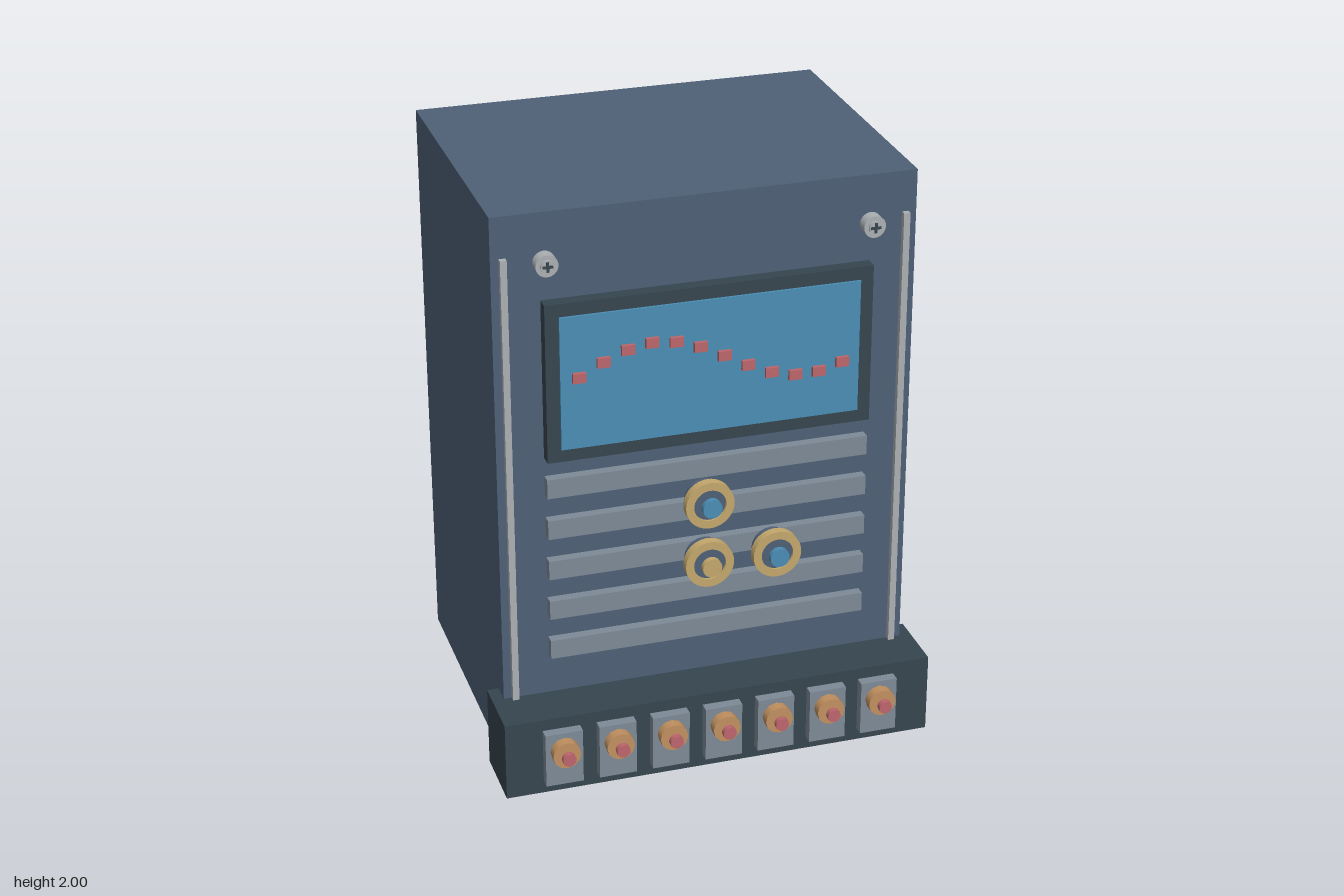
import * as THREE from 'three';

const mat = (name, color) => Object.assign(new THREE.MeshStandardMaterial({ color }), { name });

export function createModel() {
  const model = new THREE.Group();
  model.name = 'controlCabinet';

  const slate = mat('slate blue', 0x4f6077);
  const charcoal = mat('charcoal', 0x36454f);
  const steel = mat('steel grey', 0x7d8a96);
  const silver = mat('silver', 0xabb0b3);
  const blue = mat('screen blue', 0x4a8db5);
  const gold = mat('gold', 0xc4a86c);
  const copper = mat('copper', 0xc0905f);
  const red = mat('signal red', 0xbd666c);

  const add = (name, geometry, material, parent = model) => {
    const mesh = new THREE.Mesh(geometry, material);
    mesh.name = name;
    parent.add(mesh);
    return mesh;
  };
  // Box given by its centre in x and y, its size, and its z range
  const box = (name, x, y, w, h, z0, z1, material, parent) =>
    add(name, new THREE.BoxGeometry(w, h, z1 - z0).translate(x, y, (z0 + z1) / 2), material, parent);
  // Cylinder lying along z
  const disc = (name, x, y, r, z0, z1, material, parent, sides = 20) =>
    add(name, new THREE.CylinderGeometry(r, r, z1 - z0, sides).rotateX(Math.PI / 2)
      .translate(x, y, (z0 + z1) / 2), material, parent);
  const group = (name) => {
    const g = new THREE.Group();
    g.name = name;
    model.add(g);
    return g;
  };

  // Cabinet and plinth
  box('cabinet', 0, 1.0125, 1.41, 1.975, -0.72, 0.3, slate);
  box('plinth', 0, 0.14, 1.49, 0.28, 0.23, 0.47, charcoal);

  // Edge rails and cross-head screws
  for (const side of [-1, 1]) {
    box('edgeRail', side * 0.667, 1.06, 0.022, 1.6, 0.3, 0.32, silver);
    const screw = group('screw');
    const x = side * 0.54, y = 1.845;
    disc('screwShank', x, y, 0.022, 0.3, 0.33, silver, screw);
    disc('screwHead', x, y, 0.037, 0.325, 0.365, silver, screw);
    disc('screwBoss', x, y, 0.022, 0.365, 0.373, silver, screw);
    box('screwSlot', x, y, 0.034, 0.009, 0.37, 0.376, charcoal, screw);
    box('screwSlot', x, y, 0.009, 0.034, 0.37, 0.3755, charcoal, screw);
  }

  // Display with a dotted wave
  box('screenFrame', 0, 1.43, 1.095, 0.55, 0.3, 0.346, charcoal);
  box('screen', 0, 1.43, 1.005, 0.46, 0.346, 0.354, blue);
  for (let i = 0; i < 12; i++) {
    box('waveDot', -0.442 + i * 0.0804, 1.45 + 0.09 * Math.sin(i * 0.5), 0.044, 0.034, 0.35, 0.367, red);
  }

  // Vent slats
  for (let i = 0; i < 5; i++) box('ventSlat', 0, 1.055 - i * 0.149, 1.095, 0.068, 0.3, 0.334, steel);

  // Knobs: dark body, gold collar with a hole, raised cap
  const collarShape = new THREE.Shape().absarc(0, 0, 0.08, 0, Math.PI * 2);
  collarShape.holes.push(new THREE.Path().absarc(0, 0, 0.053, 0, Math.PI * 2, true));
  const collar = new THREE.ExtrudeGeometry(collarShape, { depth: 0.03, bevelEnabled: false, curveSegments: 20 });
  for (const [x, y, cap] of [[-0.113, 1.11, blue], [-0.113, 0.9, gold], [0.113, 0.9, blue]]) {
    const knob = group('knob');
    disc('knobBody', x, y, 0.064, 0.622, 0.685, slate, knob);
    add('knobCollar', collar, gold, knob).position.set(x, y, 0.663);
    disc('knobCap', x, y, 0.032, 0.702, 0.72, cap, knob);
  }

  // Row of terminals on the plinth
  for (let i = 0; i < 7; i++) {
    const terminal = group('terminal');
    const x = (i - 3) * 0.1845;
    box('terminalPlate', x, 0.142, 0.128, 0.195, 0.465, 0.506, steel, terminal);
    disc('terminalNut', x, 0.175, 0.048, 0.506, 0.542, copper, terminal, 12);
    disc('terminalTip', x, 0.175, 0.023, 0.554, 0.574, red, terminal, 12);
  }

  return model;
}
